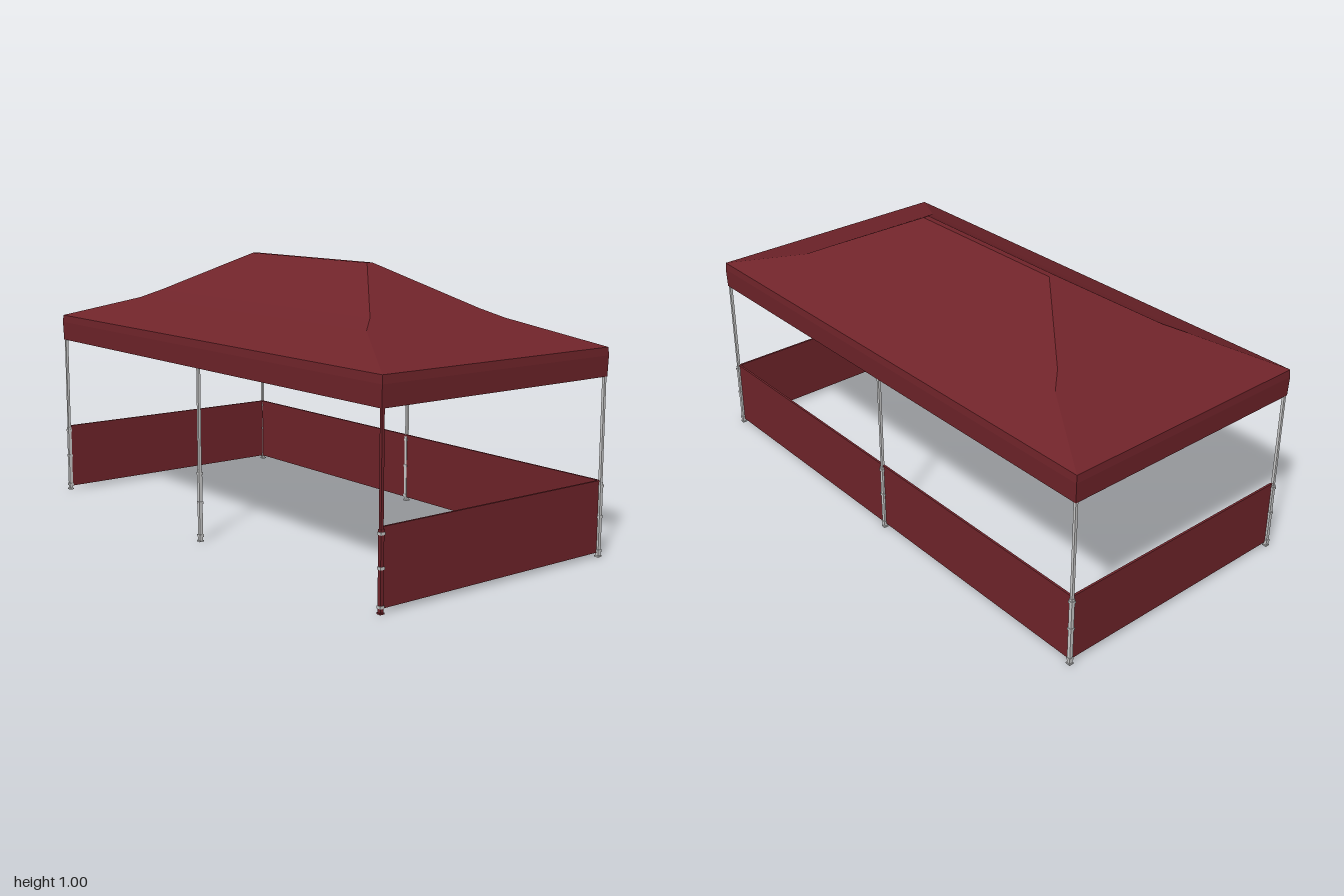
import * as THREE from 'three';

const fabric = new THREE.MeshStandardMaterial({ color: 0x70242a, side: THREE.DoubleSide, flatShading: true });
const redPaint = new THREE.MeshStandardMaterial({ color: 0x70242a });
const metal = new THREE.MeshStandardMaterial({ color: 0xcccccc });

function box(name, size, pos, material, parent) {
  const mesh = new THREE.Mesh(new THREE.BoxGeometry(...size), material);
  mesh.name = name;
  mesh.position.set(...pos);
  parent.add(mesh);
  return mesh;
}

// Sheet through a stack of rectangular rings given as [halfX, halfZ, y], top first
function ringSheet(rings, capTop) {
  const pos = [], index = [];
  for (const [x, z, y] of rings) pos.push(x, y, z, x, y, -z, -x, y, -z, -x, y, z);
  for (let r = 0; r < rings.length - 1; r++) {
    for (let i = 0; i < 4; i++) {
      const a = r * 4 + i, b = r * 4 + (i + 1) % 4;
      index.push(a, a + 4, b, b, a + 4, b + 4);
    }
  }
  if (capTop) index.push(0, 1, 2, 0, 2, 3);
  const geo = new THREE.BufferGeometry();
  geo.setAttribute('position', new THREE.Float32BufferAttribute(pos, 3));
  geo.setIndex(index);
  const flat = geo.toNonIndexed();
  flat.computeVertexNormals();
  return flat;
}

// Telescopic leg: foot, wider lower tube, collars and slim upper tube
function makeLeg(name, x, z, material) {
  const leg = new THREE.Group();
  leg.name = name;
  leg.position.set(x, 0, z);
  box('foot', [0.018, 0.005, 0.018], [0, 0.0025, 0], material, leg);
  box('lowerTube', [0.013, 0.26, 0.013], [0, 0.133, 0], material, leg);
  box('upperTube', [0.01, 0.47, 0.01], [0, 0.485, 0], material, leg);
  for (const y of [0.022, 0.143, 0.25]) box('collar', [0.017, 0.009, 0.017], [0, y, 0], metal, leg);
  return leg;
}

export function createModel() {
  const tent = new THREE.Group();
  tent.name = 'canopyTent';

  // Hipped roof that flares gently towards the eaves
  const roof = new THREE.Mesh(ringSheet([
    [0.345, 0.012, 0.995], [0.64, 0.245, 0.845], [0.7, 0.31, 0.813], [0.998, 0.498, 0.728],
  ], true), fabric);
  roof.name = 'roof';
  tent.add(roof);

  // Hanging valance
  const valance = new THREE.Mesh(ringSheet([
    [0.998, 0.498, 0.728], [1, 0.5, 0.7], [0.998, 0.498, 0.628],
  ], false), fabric);
  valance.name = 'valance';
  tent.add(valance);

  // Legs at the corners and the middle of the long sides
  for (const z of [0.491, -0.491]) {
    const place = z > 0 ? 'front' : 'back';
    tent.add(makeLeg(place + 'LeftLeg', 0.991, z, z > 0 ? redPaint : metal));
    tent.add(makeLeg(place + 'MiddleLeg', 0, z, metal));
    tent.add(makeLeg(place + 'RightLeg', -0.991, z, metal));
  }

  // Eave frame inside the valance
  for (const s of [1, -1]) {
    for (const y of [0.638, 0.712]) {
      box('longRail', [1.97, 0.01, 0.008], [0, y, s * 0.488], redPaint, tent);
      box('endRail', [0.008, 0.01, 0.97], [s * 0.988, y, 0], metal, tent);
    }
  }
  box('endBand', [0.006, 0.07, 0.93], [-0.988, 0.675, 0], metal, tent);

  // Half-height walls at the back and both ends, with a top rail
  box('backWall', [1.97, 0.253, 0.004], [0, 0.1415, -0.488], redPaint, tent);
  box('backWallRail', [1.97, 0.006, 0.008], [0, 0.267, -0.488], redPaint, tent);
  for (const s of [1, -1]) {
    const side = s > 0 ? 'left' : 'right';
    box(side + 'Wall', [0.004, 0.253, 0.97], [s * 0.988, 0.1415, 0], redPaint, tent);
    box(side + 'WallRail', [0.008, 0.006, 0.97], [s * 0.988, 0.267, 0], redPaint, tent);
  }
  return tent;
}
